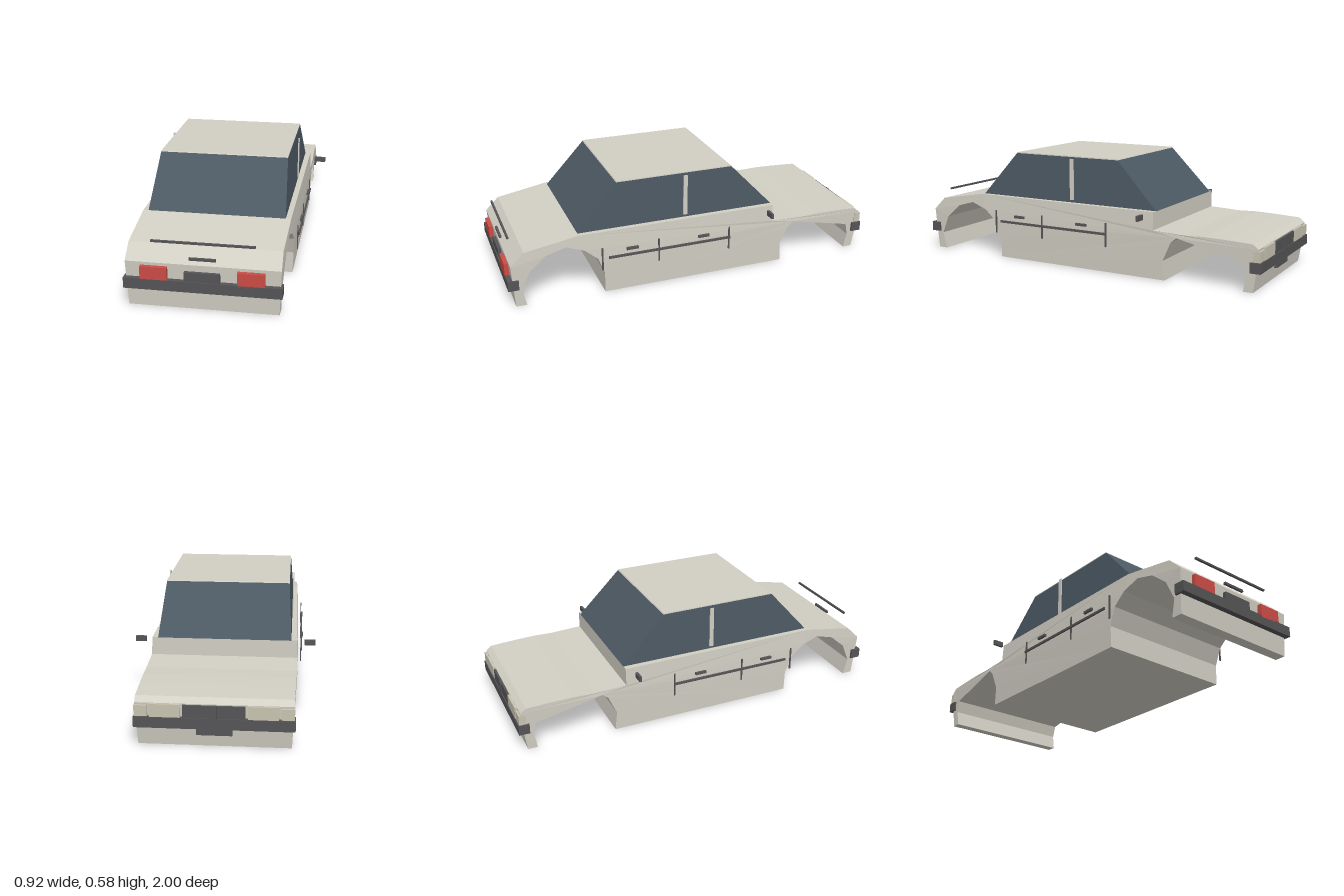
import * as THREE from 'three';

const mat = (color) => new THREE.MeshStandardMaterial({ color, flatShading: true });
const paint = mat(0xd2cfc4);
const glass = mat(0x4c5963);
const trim = mat(0x555456);
const red = mat(0xcc4c46);
const lamp = mat(0xc9c4b2);

export function createModel() {
  const car = new THREE.Group();
  car.name = 'car';

  const add = (name, geometry, material) => {
    const mesh = new THREE.Mesh(geometry, material);
    mesh.name = name;
    car.add(mesh);
    return mesh;
  };

  // Box given by its limits on each axis
  const box = (name, material, [x0, x1], [y0, y1], [z0, z1]) => {
    const g = new THREE.BoxGeometry(x1 - x0, y1 - y0, z1 - z0);
    g.translate((x0 + x1) / 2, (y0 + y1) / 2, (z0 + z1) / 2);
    return add(name, g, material);
  };

  // The same box on both sides of the car
  const pair = (name, material, [x0, x1], y, z) => {
    box(name + 'Left', material, [x0, x1], y, z);
    box(name + 'Right', material, [-x1, -x0], y, z);
  };

  // Frustum: a box whose top face is replaced by a smaller rectangle
  const frustum = (name, material, bottom, top) => {
    const g = new THREE.BoxGeometry(1, 1, 1);
    const p = g.attributes.position;
    for (let i = 0; i < p.count; i++) {
      const end = p.getY(i) > 0 ? top : bottom;
      p.setXYZ(i, p.getX(i) * 2 * end.x, end.y, p.getZ(i) > 0 ? end.z1 : end.z0);
    }
    g.computeVertexNormals();
    return add(name, g, material);
  };

  // Body: side profile (z, y) with open wheel arches, extruded across the width
  const profile = [
    // tail, boot lid and waist
    [0.965, 0], [0.975, 0.15], [0.98, 0.227], [0.91, 0.295], [0.633, 0.342],
    // scuttle, bonnet and nose
    [-0.436, 0.342], [-0.436, 0.25], [-0.605, 0.243], [-0.71, 0.247], [-0.83, 0.244],
    [-0.955, 0.238], [-0.985, 0.215], [-0.975, 0.1], [-0.96, 0],
    // wheel arch at the nose
    [-0.91, 0], [-0.925, 0.08], [-0.91, 0.145], [-0.565, 0.225], [-0.535, 0.2],
    [-0.49, 0.1], [-0.5, 0],
    // floor, then wheel arch at the tail
    [0.505, 0], [0.505, 0.11], [0.54, 0.2], [0.607, 0.257], [0.70, 0.29],
    [0.80, 0.262], [0.885, 0.19], [0.93, 0.09], [0.91, 0],
  ];
  const shape = new THREE.Shape(profile.map(([z, y]) => new THREE.Vector2(z, y)));
  const body = new THREE.ExtrudeGeometry(shape, { depth: 2, bevelEnabled: false });
  body.translate(0, 0, -1).rotateY(-Math.PI / 2);
  const p = body.attributes.position;
  for (let i = 0; i < p.count; i++) {
    // Widest at the waist, slightly narrower at sill, shoulder and both ends
    const y = p.getY(i);
    const z = Math.abs(p.getZ(i));
    const half = y < 0.23 ? 0.366 + 0.009 * (y / 0.23) : 0.375 - 0.05 * (y - 0.23);
    const taper = 0.012 * Math.max(0, (z - 0.5) / 0.5);
    p.setX(i, Math.sign(p.getX(i)) * (half - taper));
  }
  body.computeVertexNormals();
  add('body', body, paint);

  // Cabin
  frustum('windows', glass,
    { x: 0.34, y: 0.341, z0: -0.437, z1: 0.633 }, { x: 0.323, y: 0.582, z0: -0.206, z1: 0.417 });
  frustum('roof', paint,
    { x: 0.3235, y: 0.58, z0: -0.208, z1: 0.419 }, { x: 0.323, y: 0.585, z0: -0.205, z1: 0.416 });
  pair('doorPillar', paint, [0.34, 0.346], [0.356, 0.573], [0.045, 0.067]);

  // Tail
  box('tailBumper', trim, [-0.37, 0.37], [0.098, 0.15], [0.945, 1]);
  pair('tailLight', red, [0.163, 0.29], [0.142, 0.212], [0.965, 1]);
  box('tailPlate', trim, [-0.083, 0.083], [0.15, 0.195], [0.97, 0.995]);
  box('bootHandle', trim, [-0.063, 0.063], [0.249, 0.261], [0.968, 0.98]);
  box('bootStrip', trim, [-0.242, 0.242], [0.323, 0.333], [0.958, 0.968]);

  // Nose
  box('noseBumper', trim, [-0.37, 0.37], [0.098, 0.15], [-1, -0.945]);
  box('grille', trim, [-0.143, 0.143], [0.15, 0.21], [-0.995, -0.965]);
  box('grilleBar', trim, [-0.012, 0.012], [0.15, 0.21], [-1, -0.97]);
  pair('headlight', lamp, [0.155, 0.295], [0.15, 0.213], [-0.996, -0.96]);
  pair('indicator', lamp, [0.305, 0.366], [0.152, 0.205], [-0.995, -0.96]);
  box('nosePlate', trim, [-0.083, 0.083], [0.062, 0.1], [-0.985, -0.96]);

  // Sides
  pair('mirror', trim, [0.407, 0.462], [0.306, 0.333], [-0.399, -0.385]);
  pair('sideStrip', trim, [0.389, 0.397], [0.2, 0.212], [-0.18, 0.487]);
  for (const z of [-0.175, 0.218, 0.52]) {
    pair('doorGap', trim, [0.387, 0.392], [0.138, 0.264], [z - 0.004, z + 0.004]);
  }
  for (const z of [-0.028, 0.362]) {
    pair('doorHandle', trim, [0.388, 0.4], [0.234, 0.247], [z - 0.031, z + 0.031]);
  }

  return car;
}
